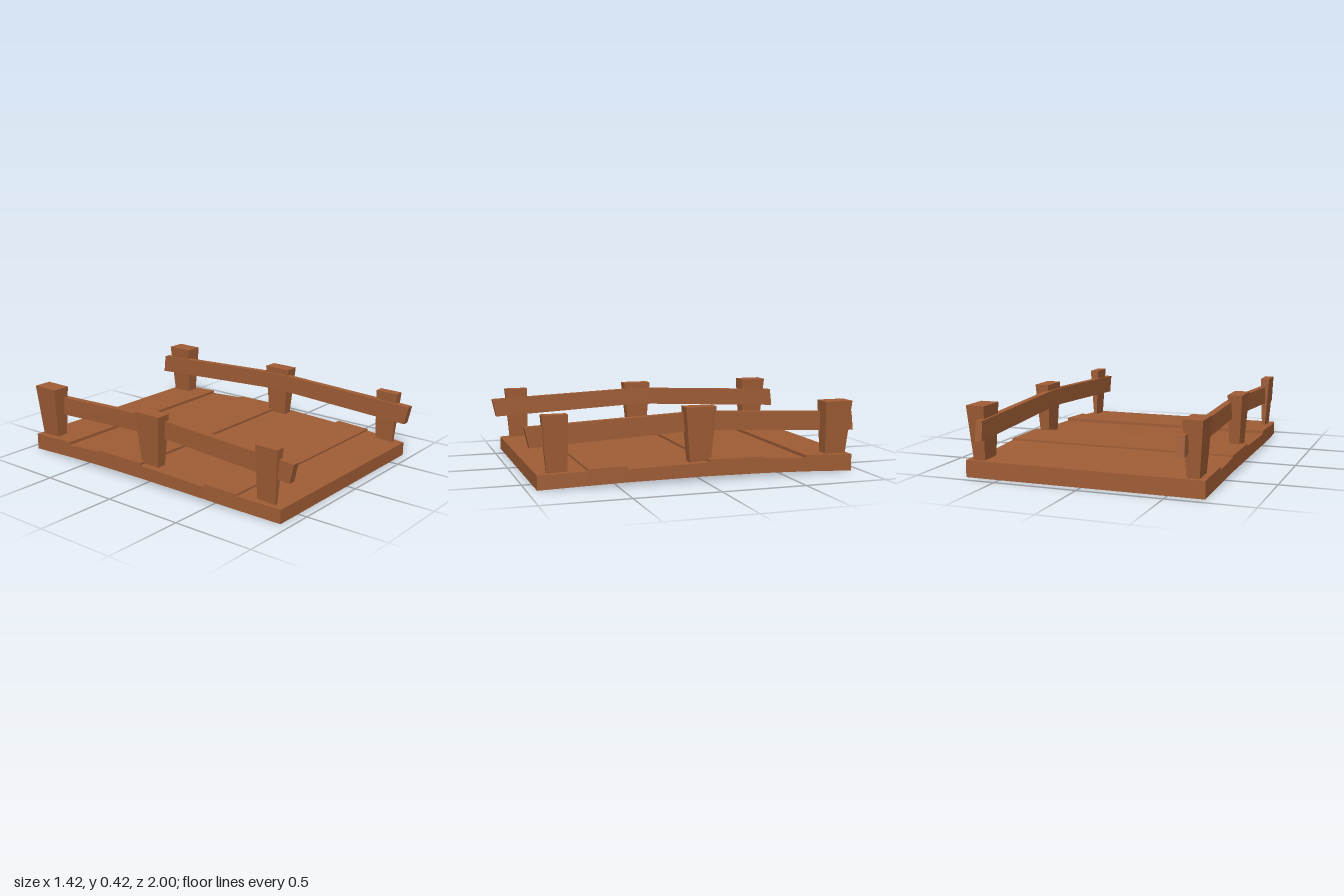
import * as THREE from 'three';

const wood = new THREE.MeshStandardMaterial({ color: 0xa05d35, flatShading: true, side: THREE.DoubleSide });
wood.name = 'brown wood';

// Skin a row of four-point rings; an open ring leaves out its last side
function loft(name, rings, open = false, mirror = false) {
  const pos = [];
  const quad = (a, b, c, d) => {
    const order = mirror ? [a, c, b, a, d, c] : [a, b, c, a, c, d];
    for (const p of order) pos.push(mirror ? -p[0] : p[0], p[1], p[2]);
  };
  for (let i = 0; i < rings.length - 1; i++) {
    const r = rings[i], s = rings[i + 1];
    for (let j = 0; j < (open ? 3 : 4); j++) {
      const k = (j + 1) % 4;
      quad(r[j], r[k], s[k], s[j]);
    }
  }
  const [a, b, c, d] = rings[0];
  quad(d, c, b, a);
  quad(...rings[rings.length - 1]);
  const geo = new THREE.BufferGeometry();
  geo.setAttribute('position', new THREE.Float32BufferAttribute(pos, 3));
  geo.computeVertexNormals();
  const mesh = new THREE.Mesh(geo, wood);
  mesh.name = name;
  return mesh;
}

// Horizontal rectangle at height y
const level = (y, x0, x1, z0, z1) => [[x0, y, z1], [x1, y, z1], [x1, y, z0], [x0, y, z0]];
// Upright rectangle at depth z; lean tips its top along z
const upright = (z, x0, x1, y0, y1, lean = 0) =>
  [[x0, y0, z], [x1, y0, z], [x1, y1, z + lean], [x0, y1, z + lean]];

export function createModel() {
  const model = new THREE.Group();

  // Stepped plank deck, arched and open underneath: z, half width, top height
  const deckProfile = [
    [-0.94, 0.71, 0.1], [-0.64, 0.71, 0.11],
    [-0.64, 0.71, 0.092], [-0.375, 0.71, 0.108],
    [-0.375, 0.71, 0.118], [-0.035, 0.71, 0.12],
    [-0.035, 0.71, 0.105], [0.44, 0.7, 0.092],
    [0.44, 0.7, 0.111], [0.665, 0.69, 0.105],
    [0.665, 0.69, 0.094], [0.943, 0.665, 0.083],
  ];
  model.add(loft('plankDeck', deckProfile.map(([z, w, top]) => {
    const low = 0.025 * (1 - (z / 0.943) ** 2);
    return [[w, low, z], [w, top, z], [-w, top, z], [-w, low, z]];
  }), true));

  // Tapered posts: bottom and top rectangles
  const posts = {
    frontPost: [level(0.078, 0.617, 0.637, 0.767, 0.885), level(0.408, 0.603, 0.66, 0.765, 0.91)],
    middlePost: [level(0.09, 0.605, 0.665, -0.06, 0.065), level(0.42, 0.595, 0.685, -0.087, 0.095)],
    backPost: [level(0.085, 0.6, 0.67, -0.915, -0.785), level(0.418, 0.582, 0.695, -0.945, -0.772)],
  };
  // Handrail bent at the middle post
  const rail = [
    upright(-1, 0.57, 0.612, 0.228, 0.342, 0.013),
    upright(-0.09, 0.58, 0.62, 0.273, 0.381),
    upright(0.09, 0.583, 0.622, 0.273, 0.381),
    upright(0.975, 0.593, 0.637, 0.23, 0.343, 0.025),
  ];
  for (const mirror of [false, true]) {
    const side = new THREE.Group();
    side.name = mirror ? 'rightRailing' : 'leftRailing';
    for (const [name, rings] of Object.entries(posts)) side.add(loft(name, rings, false, mirror));
    side.add(loft('handrail', rail, false, mirror));
    model.add(side);
  }
  return model;
}
